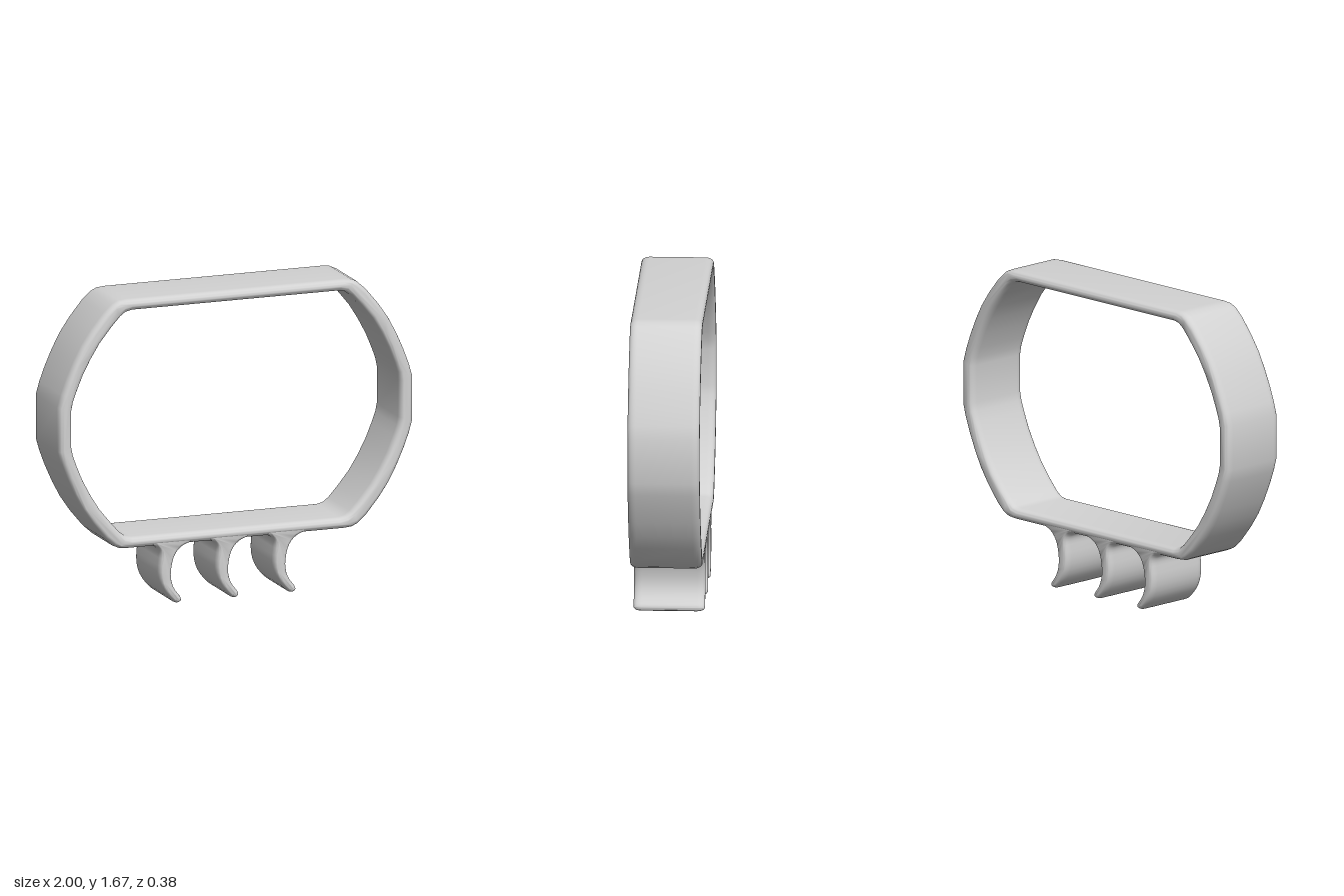
import * as THREE from 'three';
import { toCreasedNormals } from 'three/addons/utils/BufferGeometryUtils.js';

const MID_Y = 0.995;   // height of the band's centre
const ROUND = 0.026;   // edge rounding across the band thickness

// Quarter outlines relative to the band centre, from the top bar to the side
const OUTER = [[0.61, 0.675], [0.655, 0.671], [0.69, 0.655], [0.74, 0.61], [0.81, 0.525],
  [0.865, 0.445], [0.91, 0.36], [0.95, 0.27], [0.98, 0.19], [1, 0.12]];
const INNER = [[0.585, 0.615], [0.62, 0.607], [0.65, 0.585], [0.70, 0.53], [0.765, 0.45],
  [0.815, 0.37], [0.86, 0.285], [0.895, 0.2], [0.915, 0.145], [0.924, 0.1]];

// Mirrors a quarter outline into a full closed clockwise loop
function mirroredLoop(quarter) {
  const back = [...quarter].reverse();
  return [
    ...quarter.map(([x, y]) => [x, y]),
    ...back.map(([x, y]) => [x, -y]),
    ...quarter.map(([x, y]) => [-x, -y]),
    ...back.map(([x, y]) => [-x, y]),
  ].map(([x, y]) => new THREE.Vector2(x, y + MID_Y));
}

// Extrudes along z with soft edges that stay inside the outline
function softExtrude(shape, halfDepth, round) {
  const thickness = 0.042;
  const geometry = new THREE.ExtrudeGeometry(shape, {
    depth: 2 * (halfDepth - thickness),
    bevelEnabled: true,
    bevelThickness: thickness,
    bevelSize: round,
    bevelOffset: -round,
    bevelSegments: 6,
    curveSegments: 8,
  });
  geometry.translate(0, 0, -(halfDepth - thickness));
  return toCreasedNormals(geometry, 0.8);
}

// Hook outline around its own stem, with flared fillets at the root
function hookShape() {
  const s = new THREE.Shape();
  s.moveTo(-0.15, 0.362);
  s.lineTo(-0.15, 0.322);
  s.bezierCurveTo(-0.11, 0.318, -0.092, 0.295, -0.098, 0.25);
  s.bezierCurveTo(-0.115, 0.14, -0.095, 0.075, -0.025, 0.012);
  s.bezierCurveTo(-0.008, -0.004, 0.008, -0.003, 0.02, 0.008);
  s.bezierCurveTo(0.028, 0.018, 0.024, 0.03, 0.014, 0.042);
  s.bezierCurveTo(-0.045, 0.105, -0.035, 0.17, -0.025, 0.22);
  s.bezierCurveTo(-0.012, 0.285, 0.03, 0.315, 0.08, 0.322);
  s.lineTo(0.08, 0.362);
  s.closePath();
  return s;
}

export function createModel() {
  const group = new THREE.Group();
  const grey = new THREE.MeshStandardMaterial({ color: 0xd2d2d2 });
  grey.name = 'light grey';

  // Closed band with straight top and bottom and bowed sides;
  // the opening runs against the outline so its wall faces inwards
  const bandShape = new THREE.Shape(mirroredLoop(OUTER));
  bandShape.holes.push(new THREE.Path(mirroredLoop(INNER).reverse()));
  const band = new THREE.Mesh(softExtrude(bandShape, 0.19, ROUND), grey);
  band.name = 'band';
  group.add(band);

  // Three hooks under the bottom bar
  const hookGeometry = softExtrude(hookShape(), 0.188, 0.02);
  [-0.33, -0.007, 0.316].forEach((x, i) => {
    const hook = new THREE.Mesh(hookGeometry, grey);
    hook.position.x = x;
    hook.name = `hook${i + 1}`;
    group.add(hook);
  });

  return group;
}
